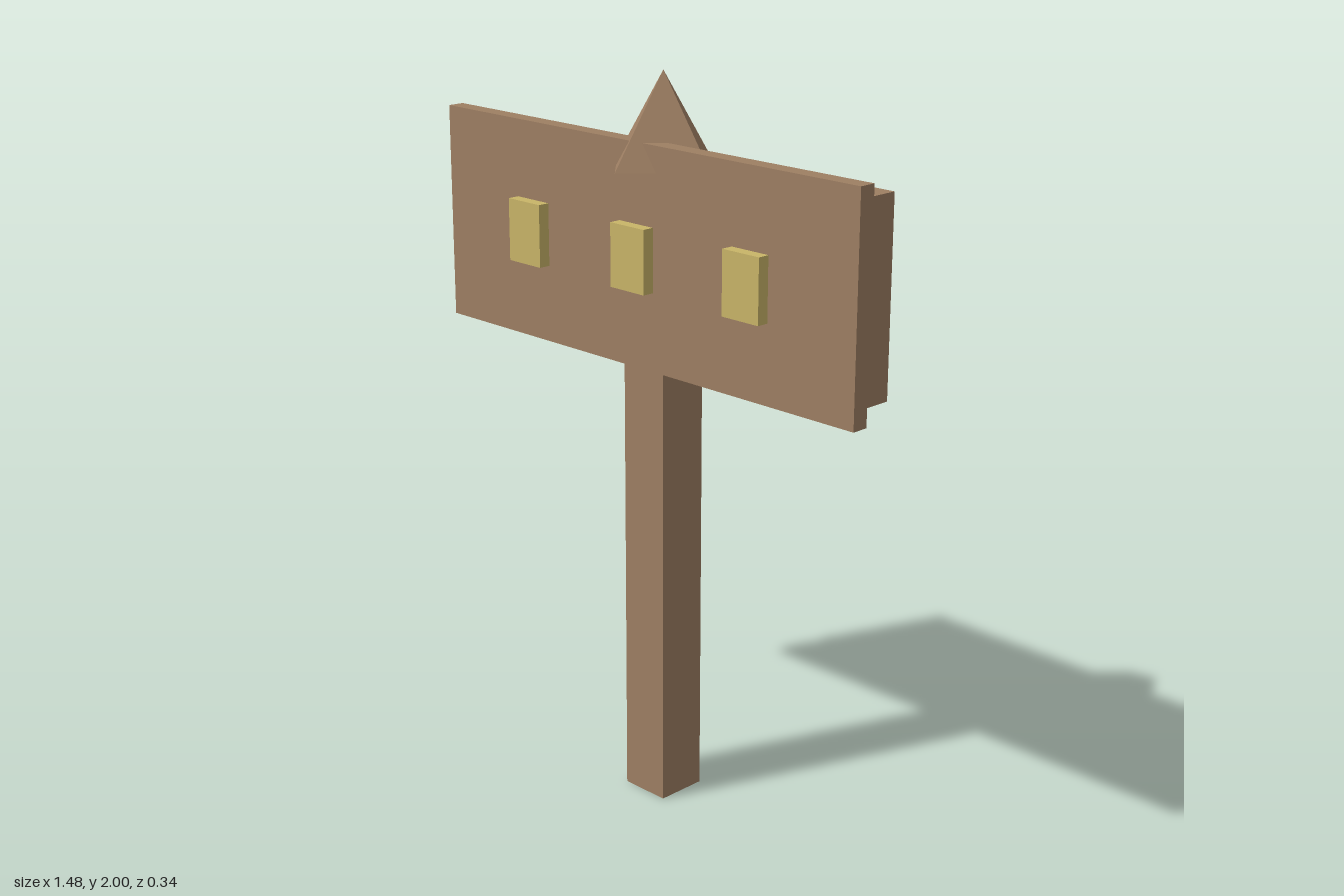
import * as THREE from 'three';

export function createModel() {
  const model = new THREE.Group();
  model.name = 'signpost';

  const wood = new THREE.MeshStandardMaterial({ color: 0x9e7f63, flatShading: true });
  wood.name = 'brown wood';
  const gold = new THREE.MeshStandardMaterial({ color: 0xc9b568, flatShading: true });
  gold.name = 'pale gold';

  const add = (name, geometry, material, x, y, z) => {
    const mesh = new THREE.Mesh(geometry, material);
    mesh.name = name;
    mesh.position.set(x, y, z);
    model.add(mesh);
  };

  // Box given by its lower and upper corners
  const box = (name, material, [x0, y0, z0], [x1, y1, z1]) =>
    add(name, new THREE.BoxGeometry(x1 - x0, y1 - y0, z1 - z0), material,
      (x0 + x1) / 2, (y0 + y1) / 2, (z0 + z1) / 2);

  // Square post with the sign boards near its top
  box('post', wood, [-0.072, 0, -0.072], [0.072, 1.735, 0.072]);
  box('backBoard', wood, [-0.71, 1.275, -0.06], [0.71, 1.79, 0.05]);
  box('frontBoard', wood, [-0.74, 1.24, 0.05], [0.74, 1.83, 0.097]);

  // Three raised blocks across the front board
  for (const x of [-0.397, 0, 0.397]) {
    box('frontBlock', gold, [x - 0.061, 1.45, 0.09], [x + 0.061, 1.62, 0.13]);
  }

  // Four-sided pointed cap, corners on the x and z axes
  add('pointedCap', new THREE.ConeGeometry(0.17, 0.24, 4), wood, 0, 1.88, 0);

  return model;
}
